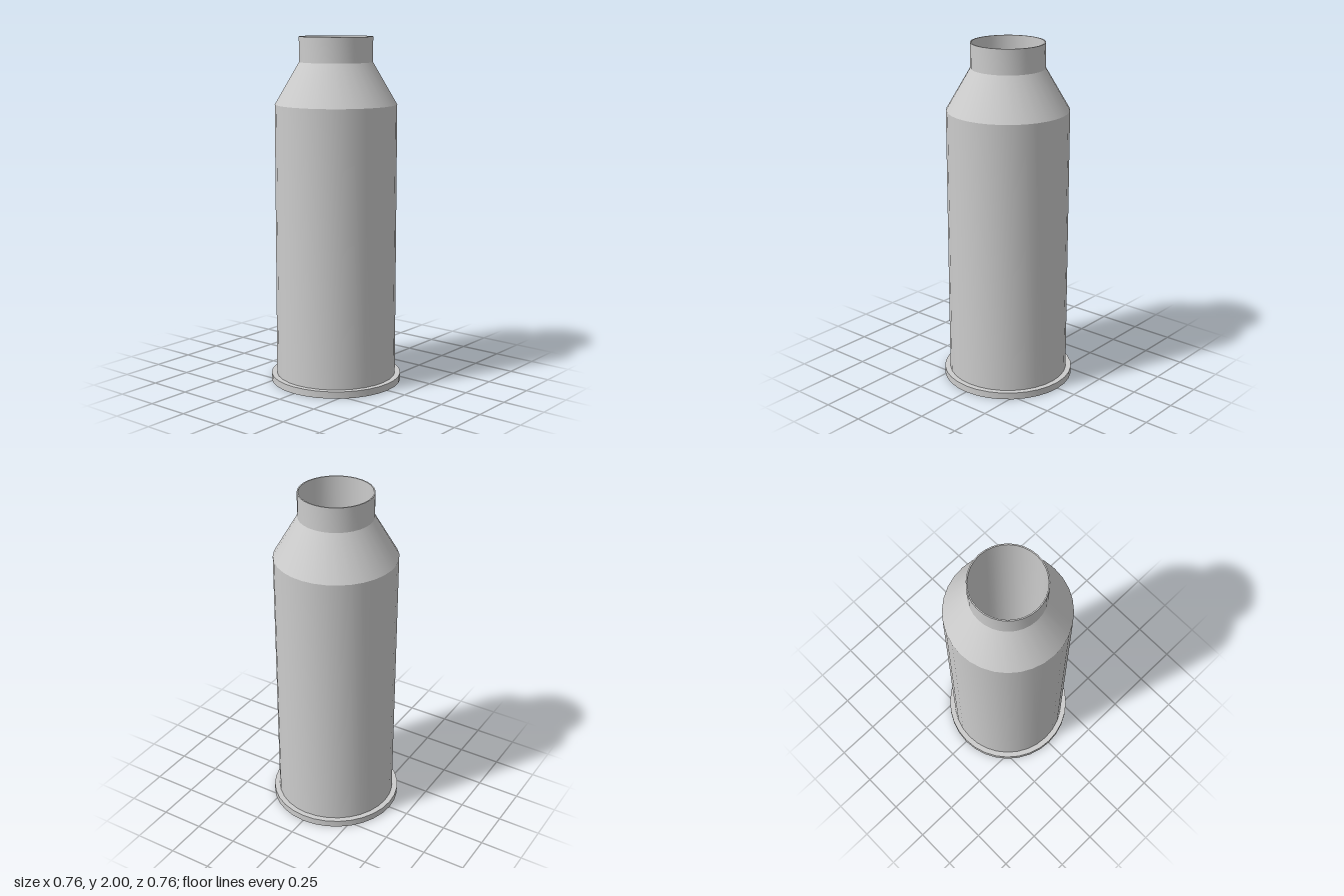
import * as THREE from 'three';
import { toCreasedNormals } from 'three/addons/utils/BufferGeometryUtils.js';

const SIDES = 32;

// Turned part: profile points [radius, y], smooth around and sharp at profile corners
function turned(name, profile, material) {
  const points = profile.map(([r, y]) => new THREE.Vector2(r, y));
  const geometry = toCreasedNormals(new THREE.LatheGeometry(points, SIDES), 0.4);
  const mesh = new THREE.Mesh(geometry, material);
  mesh.name = name;
  return mesh;
}

export function createModel() {
  const group = new THREE.Group();
  group.name = 'cartridgeCase';
  const metal = new THREE.MeshStandardMaterial({ color: 0xcccccc });

  // Rimmed case: primer pocket, rim, body, shoulder, neck and bore in one turned shell
  group.add(turned('case', [
    [0, 0.03], [0.21, 0.03], [0.234, 0],      // primer pocket with sloped wall
    [0.38, 0], [0.38, 0.04], [0.348, 0.04],   // rim
    [0.348, 1.62], [0.21, 1.857],             // body and shoulder
    [0.21, 2], [0.203, 2],                    // neck and mouth
    [0.203, 0.12], [0, 0.12],                 // bore and floor
  ], metal));

  // Primer cap seated in the pocket
  group.add(turned('primer', [
    [0, 0.004], [0.19, 0.004], [0.2, 0.014], [0.2, 0.03],
  ], metal));

  return group;
}
